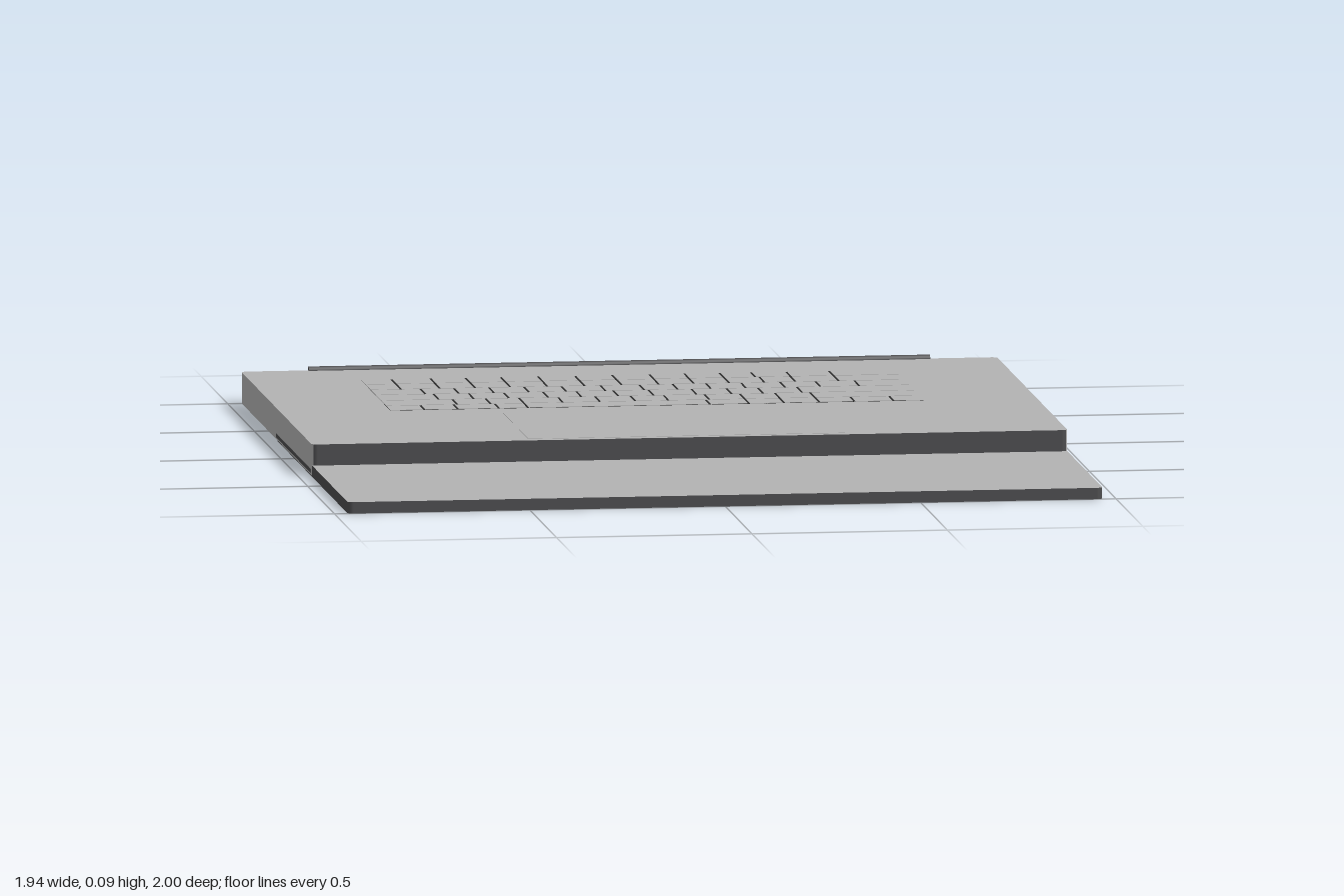
import * as THREE from 'three';

const silver = new THREE.MeshStandardMaterial({ name: 'silver', color: 0xb2b2b2 });
const charcoal = new THREE.MeshStandardMaterial({ name: 'charcoal', color: 0x4c4c4e });
const black = new THREE.MeshStandardMaterial({ name: 'gapBlack', color: 0x2a2a2a });

// Flat slab with rounded corners in plan; rule(normal) picks silver (0) or charcoal (1) per face
function slab(name, x0, x1, y0, y1, z0, z1, r, rule) {
  const s = new THREE.Shape();
  const a = -z1, b = -z0;
  s.moveTo(x0 + r, a);
  s.lineTo(x1 - r, a);
  s.absarc(x1 - r, a + r, r, -Math.PI / 2, 0);
  s.lineTo(x1, b - r);
  s.absarc(x1 - r, b - r, r, 0, Math.PI / 2);
  s.lineTo(x0 + r, b);
  s.absarc(x0 + r, b - r, r, Math.PI / 2, Math.PI);
  s.lineTo(x0, a + r);
  s.absarc(x0 + r, a + r, r, Math.PI, Math.PI * 1.5);
  const geo = new THREE.ExtrudeGeometry(s, { depth: y1 - y0, bevelEnabled: false, curveSegments: 5 });
  geo.rotateX(-Math.PI / 2);
  geo.translate(0, y0, 0);
  geo.clearGroups();
  const n = new THREE.Vector3();
  for (let i = 0; i < geo.attributes.position.count; i += 3) {
    n.fromBufferAttribute(geo.attributes.normal, i);
    geo.addGroup(i, 3, rule(n));
  }
  const mesh = new THREE.Mesh(geo, [silver, charcoal]);
  mesh.name = name;
  return mesh;
}

function box(name, x0, x1, y0, y1, z0, z1, material) {
  const mesh = new THREE.Mesh(new THREE.BoxGeometry(x1 - x0, y1 - y0, z1 - z0), material);
  mesh.position.set((x0 + x1) / 2, (y0 + y1) / 2, (z0 + z1) / 2);
  mesh.name = name;
  return mesh;
}

export function createModel() {
  const model = new THREE.Group();
  model.name = 'laptop';
  const W = 0.967;
  const top = 0.083;

  // Base: silver top and sides, charcoal front, back and underside
  model.add(slab('base', -W, W, 0.003, top, -0.99, 0.335, 0.015,
    n => (n.y < -0.5 || Math.abs(n.z) > 0.75 ? 1 : 0)));

  // Lid: silver faces with a charcoal rim, lying partly under the base
  model.add(slab('lid', -W + 0.001, W - 0.001, 0, 0.029, -0.33, 1, 0.015,
    n => (Math.abs(n.y) > 0.5 ? 0 : 1)));
  for (const side of [-1, 1]) {
    const x = side * W;
    model.add(box('lidEdge', x - 0.001, x + 0.001, 0.008, 0.018, -0.33, 0.32, charcoal));
  }

  // Hinge bar along the back edge
  const hinge = new THREE.Mesh(new THREE.CylinderGeometry(0.01, 0.01, 1.59, 16), charcoal);
  hinge.rotation.z = Math.PI / 2;
  hinge.position.set(0, 0.083, -0.99);
  hinge.name = 'hinge';
  model.add(hinge);

  // Keyboard: flush keys with dark gaps showing between them
  const keyboard = new THREE.Group();
  keyboard.name = 'keyboard';
  const rowZ = [-0.8, -0.708, -0.612, -0.516, -0.416, -0.322, -0.24];
  const gapX = [
    [-0.61, -0.51, -0.42, -0.33, -0.235, -0.14, -0.045, 0.05, 0.14, 0.23, 0.31, 0.4, 0.51],
    [-0.61, -0.51, -0.42, -0.33, -0.235, -0.14, -0.045, 0.05, 0.14, 0.23, 0.32, 0.4, 0.51],
    [-0.56, -0.475, -0.385, -0.295, -0.2, -0.1, 0, 0.085, 0.17, 0.26, 0.36, 0.45, 0.55],
    [-0.54, -0.45, -0.36, -0.26, -0.175, -0.08, 0.01, 0.12, 0.21, 0.29, 0.39],
    [-0.505, -0.42, -0.335, -0.235, -0.14, -0.05, 0.035, 0.14, 0.23, 0.32, 0.41],
    [-0.6, -0.515, -0.41, -0.335, 0.13, 0.23, 0.32, 0.41, 0.5, 0.6],
  ];
  const left = -0.69, right = 0.68, half = 0.003;
  keyboard.add(box('keyGaps', left + half, right - half, top - 0.002, top + 0.0006,
    rowZ[0] + half, rowZ[6] - half, black));
  gapX.forEach((gaps, row) => {
    const edges = [left, ...gaps, right];
    for (let i = 0; i < edges.length - 1; i++) {
      keyboard.add(box('key', edges[i] + half, edges[i + 1] - half, top - 0.002, top + 0.0016,
        rowZ[row] + half, rowZ[row + 1] - half, silver));
    }
  });
  model.add(keyboard);

  // Touchpad, almost flush with the palm rest
  model.add(box('touchpad', -0.41, 0.4, top - 0.002, top + 0.0008, -0.2, 0.31, silver));

  return model;
}
